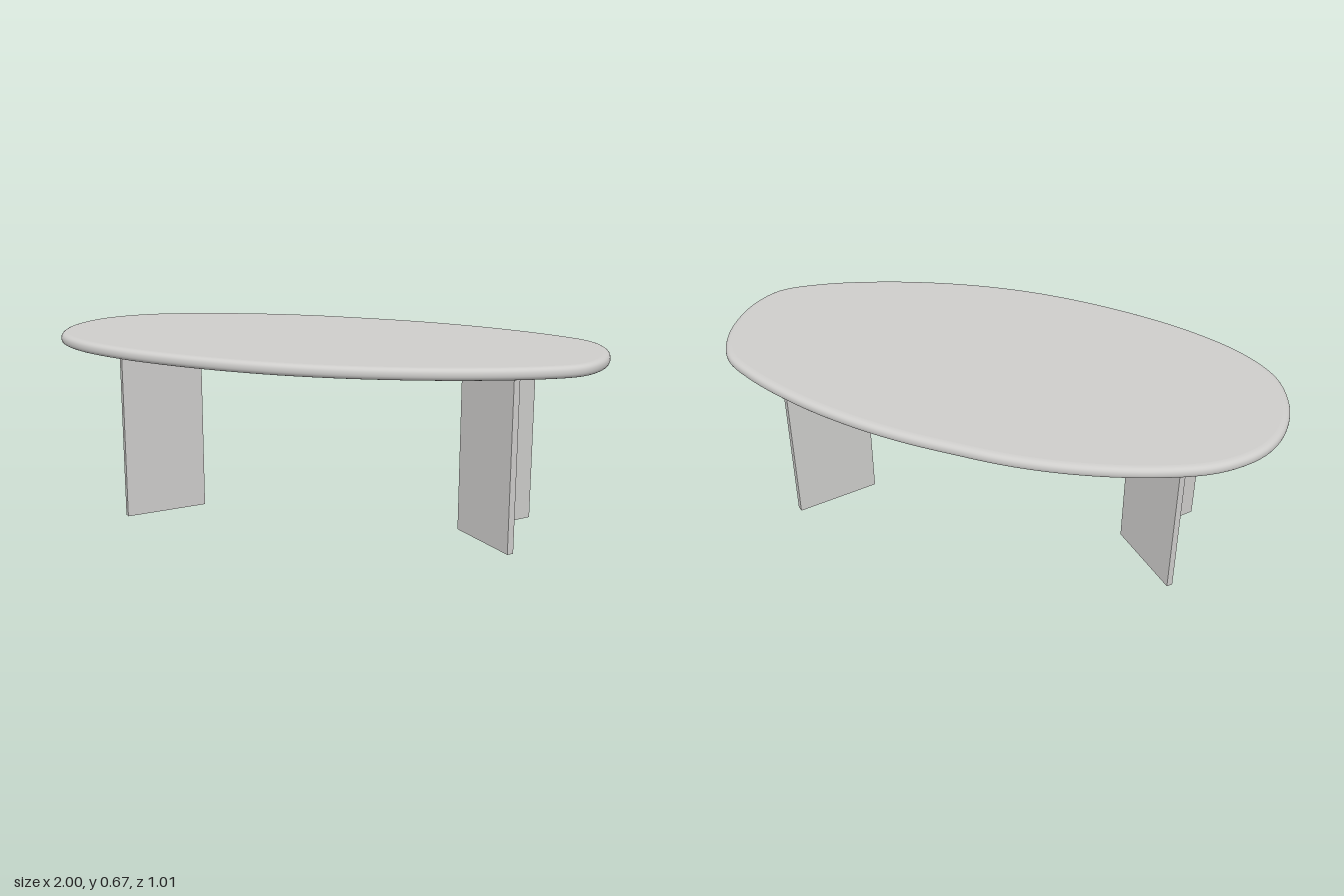
import * as THREE from 'three';

const TOP_Y = 0.668, BOTTOM_Y = 0.627;

// Plan outline of the table top as [x, z]
const OUTLINE = [
  [-0.2, -0.505], [0, -0.5], [0.2, -0.485], [0.4, -0.45], [0.6, -0.393], [0.8, -0.308],
  [0.92, -0.228], [0.977, -0.12], [0.998, 0.01], [0.985, 0.13], [0.935, 0.235], [0.8, 0.325],
  [0.6, 0.405], [0.4, 0.458], [0.2, 0.49], [0, 0.5], [-0.2, 0.487], [-0.4, 0.455],
  [-0.6, 0.402], [-0.8, 0.312], [-0.93, 0.2], [-0.985, 0.08], [-1, -0.03], [-0.982, -0.15],
  [-0.93, -0.25], [-0.82, -0.35], [-0.65, -0.425], [-0.42, -0.482],
];

// Leg plans as [x, z]: two slabs joined in a V that opens outward
const LEFT_LEG = [
  [0.5, -0.004], [0.71, 0.209], [0.727, 0.192], [0.534, -0.001], [0.727, -0.215], [0.709, -0.231],
];
const RIGHT_LEG = [
  [-0.476, -0.011], [-0.69, 0.209], [-0.706, 0.192], [-0.51, -0.011], [-0.706, -0.215], [-0.69, -0.231],
];

function createTop(material) {
  const group = new THREE.Group();
  group.name = 'tableTop';
  const curve = new THREE.CatmullRomCurve3(
    OUTLINE.map(([x, z]) => new THREE.Vector3(x, 0, z)), true, 'centripetal');
  const n = 160, rows = 12;
  const midY = (TOP_Y + BOTTOM_Y) / 2, half = (TOP_Y - BOTTOM_Y) / 2, bevel = 0.024;

  // Outline ring moved inward by a distance
  const ring = (inset) => Array.from({ length: n }, (_, i) => {
    const p = curve.getPointAt(i / n), t = curve.getTangentAt(i / n);
    return [p.x - t.z * inset, p.z + t.x * inset];
  });

  // Rounded rim lofted from stacked rings
  const positions = [], index = [];
  for (let j = 0; j <= rows; j++) {
    const a = (j / rows - 0.5) * Math.PI;
    const y = midY + half * Math.sign(Math.sin(a)) * Math.abs(Math.sin(a)) ** 0.85;
    const inset = bevel * (1 - Math.max(0, Math.cos(a)) ** 0.85);
    for (const [x, z] of ring(inset)) positions.push(x, y, z);
    if (j === rows) break;
    for (let i = 0; i < n; i++) {
      const lower = j * n + i, next = j * n + (i + 1) % n;
      index.push(lower, lower + n, next, next, lower + n, next + n);
    }
  }
  const rimGeometry = new THREE.BufferGeometry();
  rimGeometry.setAttribute('position', new THREE.Float32BufferAttribute(positions, 3));
  rimGeometry.setIndex(index);
  rimGeometry.computeVertexNormals();
  const rim = new THREE.Mesh(rimGeometry, material);
  rim.name = 'roundedRim';
  group.add(rim);

  // Flat faces above and below
  for (const side of [1, -1]) {
    const shape = new THREE.Shape(ring(bevel).map(([x, z]) => new THREE.Vector2(x, -side * z)));
    const face = new THREE.Mesh(new THREE.ShapeGeometry(shape).rotateX(-side * Math.PI / 2), material);
    face.position.y = side > 0 ? TOP_Y : BOTTOM_Y;
    face.name = side > 0 ? 'upperFace' : 'lowerFace';
    group.add(face);
  }
  return group;
}

function createLeg(plan, name, material) {
  const shape = new THREE.Shape(plan.map(([x, z]) => new THREE.Vector2(x, -z)));
  const geometry = new THREE.ExtrudeGeometry(shape, { depth: BOTTOM_Y + 0.003, bevelEnabled: false });
  const leg = new THREE.Mesh(geometry.rotateX(-Math.PI / 2), material);
  leg.name = name;
  return leg;
}

export function createModel() {
  const stone = new THREE.MeshStandardMaterial({ color: 0xcecdcb });
  stone.name = 'paleGrey';
  const table = new THREE.Group();
  table.name = 'table';
  table.add(
    createTop(stone),
    createLeg(LEFT_LEG, 'leftLeg', stone),
    createLeg(RIGHT_LEG, 'rightLeg', stone),
  );
  return table;
}
